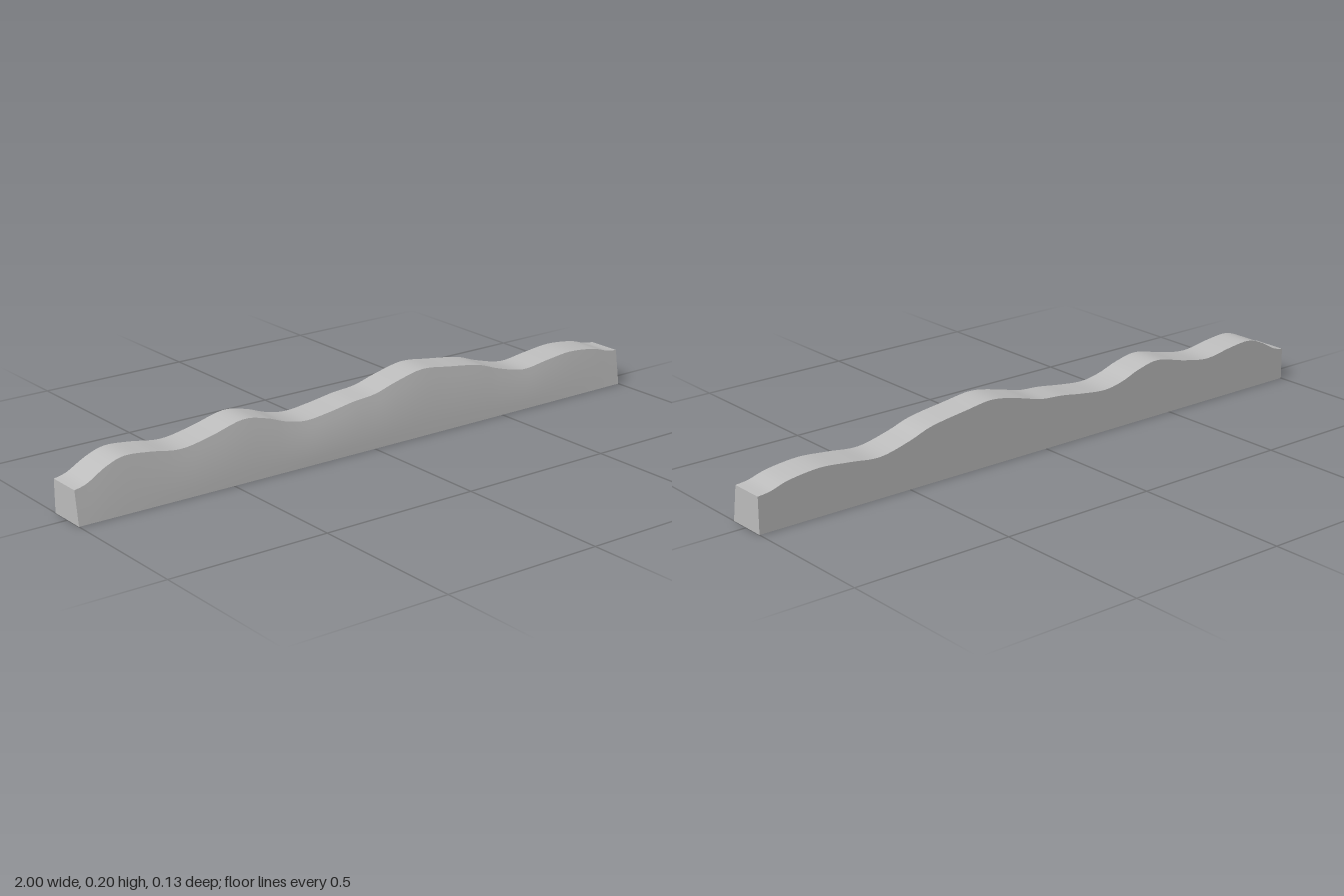
import * as THREE from 'three';
import { mergeGeometries } from 'three/addons/utils/BufferGeometryUtils.js';

const BACK = -0.065, STEPS = 120, ROWS = 6;

// Wavy crest line: x, y
const crest = new THREE.SplineCurve([
  [-1, 0.10], [-0.96, 0.11], [-0.9, 0.142], [-0.84, 0.16], [-0.76, 0.154], [-0.66, 0.14],
  [-0.56, 0.155], [-0.45, 0.18], [-0.37, 0.167], [-0.3, 0.143], [-0.23, 0.132], [-0.14, 0.141],
  [-0.06, 0.153], [0.02, 0.16], [0.1, 0.181], [0.2, 0.2], [0.3, 0.189], [0.42, 0.171],
  [0.5, 0.145], [0.6, 0.123], [0.7, 0.133], [0.8, 0.142], [0.9, 0.132], [0.96, 0.115], [1, 0.11],
].map(([x, y]) => new THREE.Vector2(x, y)));

// Point on the leaning, gently bulging front face; t runs from foot to crest
function frontPoint(p, t) {
  const bulge = 1 - p.x * p.x;
  const foot = 0.061 + 0.004 * bulge;
  const top = 0.055 - 0.1 * p.y;
  const z = foot + (top - foot) * t + 0.02 * bulge * t * (1 - t);
  return [p.x, p.y * t, z];
}

// Grid surface from a function of (u, v); u x v points outward
function sheet(nu, nv, point) {
  const position = [], index = [];
  for (let i = 0; i <= nu; i++) {
    for (let j = 0; j <= nv; j++) {
      position.push(...point(i / nu, j / nv));
      if (i < nu && j < nv) {
        const a = i * (nv + 1) + j, b = a + nv + 1;
        index.push(a, b, b + 1, a, b + 1, a + 1);
      }
    }
  }
  const geometry = new THREE.BufferGeometry();
  geometry.setAttribute('position', new THREE.Float32BufferAttribute(position, 3));
  geometry.setIndex(index);
  geometry.computeVertexNormals();
  return geometry;
}

export function createModel() {
  const stone = new THREE.MeshStandardMaterial({ color: 0xbcbcbc });
  stone.name = 'stone grey';
  const at = (u) => crest.getPoint(u);
  const mix = THREE.MathUtils.lerp;

  // One end cap, from the back edge to the front edge
  const cap = (p, flip) => sheet(1, ROWS, (u, v) => {
    const f = frontPoint(p, v);
    return [f[0], f[1], mix(f[2], BACK, flip ? 1 - u : u)];
  });

  const faces = [
    sheet(STEPS, ROWS, (u, v) => frontPoint(at(u), v)), // front
    sheet(STEPS, 1, (u, v) => { // top
      const f = frontPoint(at(u), 1);
      return [f[0], f[1], mix(f[2], BACK, v)];
    }),
    sheet(STEPS, 1, (u, v) => { // back
      const p = at(1 - u);
      return [p.x, p.y * v, BACK];
    }),
    sheet(STEPS, 1, (u, v) => { // underside
      const f = frontPoint(at(u), 0);
      return [f[0], 0, mix(BACK, f[2], v)];
    }),
    cap(at(1), false),
    cap(at(0), true),
  ];

  const ridge = new THREE.Mesh(mergeGeometries(faces), stone);
  ridge.name = 'wavyRidge';
  const model = new THREE.Group();
  model.name = 'wavyBlock';
  model.add(ridge);
  return model;
}
